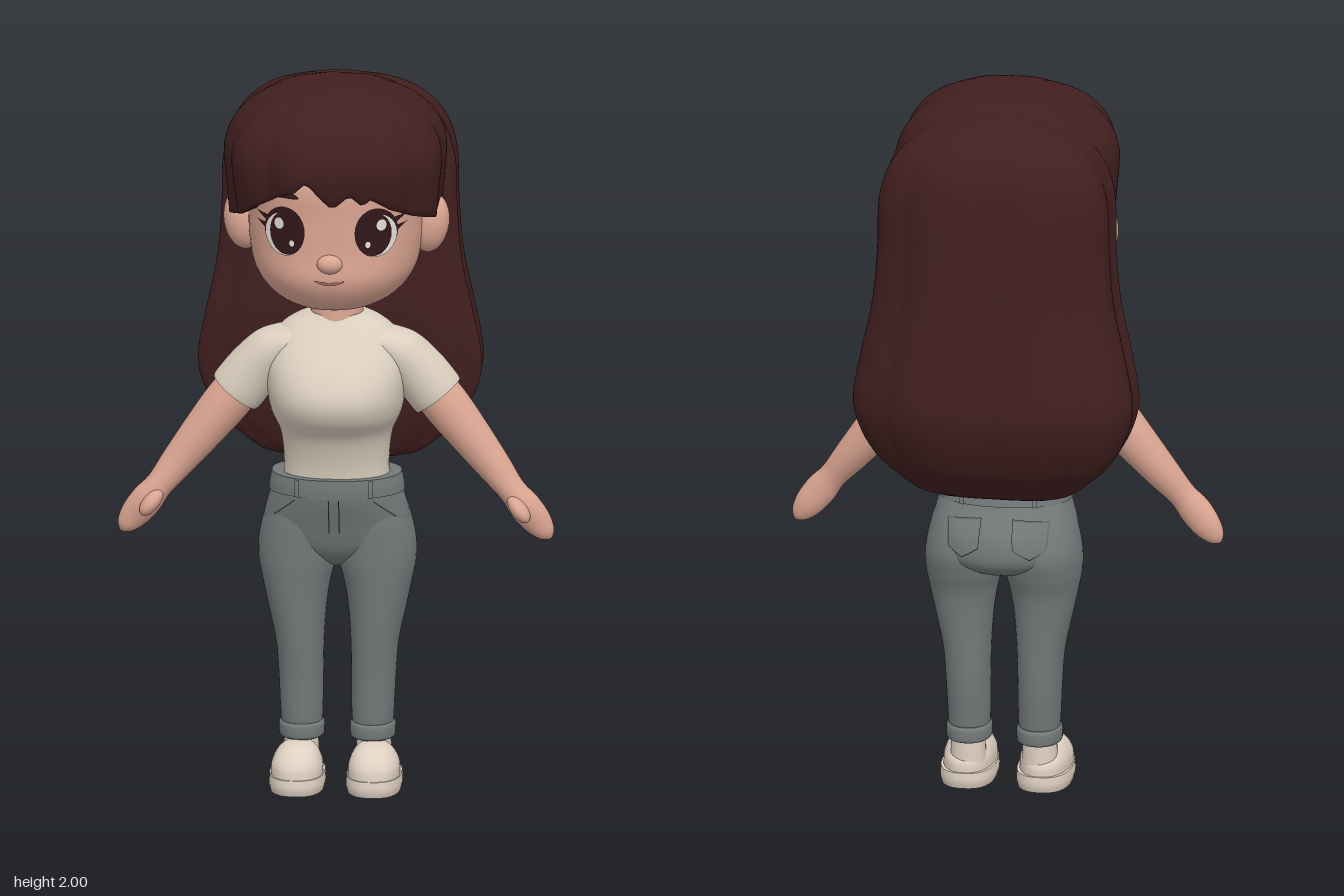
import * as THREE from 'three';

const mat = (name, color) => Object.assign(new THREE.MeshStandardMaterial({ color }), { name });
const M = {
  skin: mat('skin', 0xdca693), hair: mat('dark brown hair', 0x421f1f), shirt: mat('cream shirt', 0xdacebe),
  jeans: mat('grey denim', 0x747979), seam: mat('denim seam', 0x646969), shoe: mat('beige shoe', 0xdecfc1),
  dark: mat('eye brown', 0x32171a), white: mat('eye white', 0xe9e4de), lip: mat('lip', 0xb06e62),
};

// Skin of m + 1 rings with n points each, optional flat end caps
function skin(n, m, fn, caps) {
  const pos = [], idx = [];
  for (let j = 0; j <= m; j++) for (let i = 0; i < n; i++) pos.push(...fn(i, j / m));
  for (let j = 0; j < m; j++) for (let i = 0; i < n; i++) {
    const a = j * n + i, b = j * n + (i + 1) % n;
    idx.push(a, a + n, b, b, a + n, b + n);
  }
  if (caps) for (const [j, flip] of [[0, false], [m, true]]) {
    const start = pos.length / 3, c = [0, 0, 0];
    for (let i = 0; i < n; i++) {
      const p = pos.slice((j * n + i) * 3, (j * n + i) * 3 + 3);
      p.forEach((v, k) => { c[k] += v / n; });
      pos.push(...p);
    }
    pos.push(...c);
    for (let i = 0; i < n; i++) {
      const a = start + i, b = start + (i + 1) % n;
      idx.push(...(flip ? [a, start + n, b] : [a, b, start + n]));
    }
  }
  const g = new THREE.BufferGeometry();
  g.setAttribute('position', new THREE.Float32BufferAttribute(pos, 3));
  g.setIndex(idx);
  g.computeVertexNormals();
  return g;
}

// Smooth interpolation of section rows [x, y, z, half width, front depth, back depth]
function sample(rows, t) {
  const f = t * (rows.length - 1), i = Math.min(Math.floor(f), rows.length - 2), u = f - i;
  const r = (k) => rows[Math.max(0, Math.min(rows.length - 1, k))];
  return rows[0].map((_, c) => {
    const [a, b, d, e] = [r(i - 1)[c], r(i)[c], r(i + 1)[c], r(i + 2)[c]];
    return b + 0.5 * u * (d - a + u * (2 * a - 5 * b + 4 * d - e + u * (3 * (b - d) + e - a)));
  });
}
const pw = (v, p) => Math.sign(v) * Math.abs(v) ** (2 / p);

// Solid through horizontal superellipse sections, listed from bottom to top
function loft(rows, { n = 40, m = 32, p = 2.2, front = p, ridge = () => 1 } = {}) {
  return skin(n, m, (i, t) => {
    const a = (i / n) * Math.PI * 2, [x, y, z, rx, rf, rb] = sample(rows, t), k = ridge(a, t);
    const s = Math.sin(a), e = s > 0 ? front : p;
    return [x + k * rx * pw(Math.cos(a), e), y, z + k * (s > 0 ? rf : rb) * pw(s, e)];
  }, true);
}

// Depth of a lofted surface at x, y, on its front (1) or back (-1)
function depth(rows, x, y, face, p = 2.2) {
  let lo = 0, hi = 1;
  for (let k = 0; k < 24; k++) {
    const mid = (lo + hi) / 2;
    if (sample(rows, mid)[1] < y) lo = mid; else hi = mid;
  }
  const [cx, , z, rx, rf, rb] = sample(rows, lo);
  const q = Math.max(0, 1 - Math.abs((x - cx) / rx) ** p) ** (1 / p);
  return z + face * (face > 0 ? rf : rb) * q;
}

// Thin painted plate following a lofted surface
function patch(rows, pts, off, face = 1) {
  const o = [];
  pts.forEach((a, i) => {
    const b = pts[(i + 1) % pts.length], k = pts.length > 12 ? 1 : 6;
    for (let s = 0; s < k; s++) o.push([a[0] + (b[0] - a[0]) * s / k, a[1] + (b[1] - a[1]) * s / k]);
  });
  let area = 0, cx = 0, cy = 0;
  o.forEach((a, i) => {
    const b = o[(i + 1) % o.length];
    area += a[0] * b[1] - a[1] * b[0];
    cx += a[0] / o.length; cy += a[1] / o.length;
  });
  if (area * face > 0) o.reverse();
  return skin(o.length, 5, (i, t) => {
    const x = o[i][0] + (cx - o[i][0]) * t, y = o[i][1] + (cy - o[i][1]) * t;
    return [x, y, depth(rows, x, y, face) + face * off];
  });
}
const oval = (x, y, rx, ry, bend = 0) => Array.from({ length: 28 }, (_, i) => {
  const a = (i / 28) * Math.PI * 2, c = Math.cos(a);
  return [x + rx * c, y + ry * Math.sin(a) + bend * c * c];
});

const HEAD = [[0, 1.375, 0.07, 0.05, 0.09, 0.06], [0, 1.388, 0.065, 0.12, 0.175, 0.1], [0, 1.42, 0.06, 0.178, 0.222, 0.14],
  [0, 1.48, 0.06, 0.22, 0.253, 0.17], [0, 1.56, 0.06, 0.236, 0.25, 0.18], [0, 1.65, 0.06, 0.24, 0.25, 0.18],
  [0, 1.75, 0.06, 0.25, 0.25, 0.17], [0, 1.85, 0.06, 0.21, 0.21, 0.14], [0, 1.92, 0.06, 0.1, 0.1, 0.08]];
const HIPS = [[0, 0.615, 0.01, 0.03, 0.03, 0.03], [0, 0.64, 0.01, 0.1, 0.075, 0.11], [0, 0.68, 0.02, 0.185, 0.095, 0.16],
  [0, 0.75, 0.03, 0.2, 0.108, 0.165], [0, 0.83, 0.03, 0.182, 0.132, 0.125], [0, 0.88, 0.03, 0.17, 0.13, 0.11]];
const BAND = [[0, 0.835, 0.03, 0.186, 0.136, 0.128], [0, 0.86, 0.03, 0.183, 0.137, 0.123], [0, 0.885, 0.03, 0.177, 0.135, 0.117]];
const SHIRT = [[0, 0.85, 0.04, 0.147, 0.1, 0.09], [0, 0.92, 0.04, 0.144, 0.108, 0.09], [0, 1.0, 0.04, 0.153, 0.135, 0.09],
  [0, 1.06, 0.04, 0.178, 0.185, 0.09], [0, 1.12, 0.04, 0.189, 0.2, 0.09], [0, 1.19, 0.04, 0.192, 0.168, 0.09],
  [0, 1.26, 0.03, 0.178, 0.118, 0.08], [0, 1.295, 0.025, 0.15, 0.092, 0.075], [0, 1.318, 0.02, 0.115, 0.077, 0.07],
  [0, 1.332, 0.02, 0.08, 0.07, 0.065]];
const BACK_HAIR = [[0, 0.88, -0.14, 0.14, 0.015, 0.02], [0, 0.9, -0.13, 0.21, 0.03, 0.07], [0, 0.95, -0.12, 0.275, 0.04, 0.135],
  [0, 1.0, -0.12, 0.325, 0.055, 0.175], [0, 1.08, -0.12, 0.37, 0.07, 0.212], [0, 1.17, -0.12, 0.388, 0.085, 0.232],
  [0, 1.3, -0.12, 0.366, 0.1, 0.222], [0, 1.45, -0.12, 0.335, 0.105, 0.207], [0, 1.6, -0.12, 0.322, 0.115, 0.198],
  [0, 1.75, -0.12, 0.316, 0.13, 0.19], [0, 1.86, -0.12, 0.275, 0.13, 0.168], [0, 1.93, -0.11, 0.195, 0.1, 0.12],
  [0, 1.965, -0.09, 0.08, 0.05, 0.05]];
// Lower edge of the fringe: [degrees from the front, height]
const FRINGE = [[-180, 1.62], [-90, 1.62], [-60, 1.65], [-42, 1.69], [-24, 1.73], [-15, 1.745], [-9, 1.775], [1, 1.695],
  [9, 1.735], [16, 1.705], [20, 1.725], [33, 1.69], [52, 1.66], [90, 1.62], [180, 1.62]];

// Fringe and crown, with the lower edge folded in to the head
function crownHair() {
  const n = 144, m = 30;
  return skin(n, m, (i, t) => {
    const a = (i / n) * Math.PI * 2, s = Math.sin(a);
    const deg = Math.atan2(Math.cos(a), s) * 180 / Math.PI;
    const k = Math.max(1, FRINGE.findIndex((f) => f[0] >= deg)), [d0, y0] = FRINGE[k - 1], [d1, y1] = FRINGE[k];
    const edge = y0 + (y1 - y0) * (deg - d0) / (d1 - d0);
    const fold = t < 0.5 / m, u = Math.max(0, (t * m - 1) / (m - 1));
    const y = edge + (1.995 - edge) * Math.sin(u * Math.PI / 2) + (fold ? 0.015 : 0);
    let r = y > 1.79 ? Math.max(0, 1 - ((y - 1.79) / 0.205) ** 2.2) ** (1 / 2.2)
      : 1 - 0.3 * (1.79 - y) - (s > 0 ? 8 * s * s * (1.79 - y) ** 2 : 0);
    r *= 0.965 + 0.055 * Math.abs(Math.sin(4.5 * (a - Math.PI / 2) + 0.6)) * (1 - u ** 4);
    if (fold) r *= 0.8;
    return [0.3 * r * pw(Math.cos(a), 2.3), y, 0.08 + (s > 0 ? 0.278 : 0.33) * r * pw(s, 2.3)];
  });
}

export function createModel() {
  const root = new THREE.Group();
  root.name = 'girl';
  const add = (name, geo, m, parent = root) => {
    const mesh = new THREE.Mesh(geo, m);
    mesh.name = name;
    parent.add(mesh);
    return mesh;
  };
  const ball = (name, m, pos, scale, parent) => {
    const b = add(name, new THREE.SphereGeometry(1, 24, 16), m, parent);
    b.position.set(...pos);
    b.scale.set(...scale);
    return b;
  };

  // Head, neck and hair
  add('head', loft(HEAD, { n: 64, m: 48 }), M.skin);
  add('neck', new THREE.CylinderGeometry(0.066, 0.074, 0.16, 28), M.skin).position.set(0, 1.36, 0.025);
  ball('nose', M.skin, [0, 1.535, 0.303], [0.036, 0.028, 0.03]);
  add('mouth', patch(HEAD, oval(0, 1.48, 0.042, 0.004, 0.01), 0.004), M.lip);
  add('crownHair', crownHair(), M.hair);
  add('backHair', loft(BACK_HAIR, {
    n: 96, m: 56, p: 2.35, front: 4,
    ridge: (a, t) => 0.97 + 0.055 * Math.abs(Math.sin(4 * (a + Math.PI / 2))) * Math.min(1, (1 - t) * 5),
  }), M.hair);

  // Shirt body and the top of the jeans
  add('shirt', loft(SHIRT, { n: 56, m: 48 }), M.shirt);
  add('hips', loft(HIPS, { n: 56 }), M.jeans);
  add('waistband', loft(BAND, { n: 56, m: 8 }), M.jeans);
  for (const x of [-0.014, 0.014]) {
    add('flySeam', patch(HIPS, [[x - 0.0015, 0.73], [x + 0.0015, 0.73], [x + 0.0015, 0.83], [x - 0.0015, 0.83]], 0.004), M.seam);
  }

  for (const s of [1, -1]) {
    const side = s > 0 ? 'left' : 'right';
    const face = (name, pts, off, m) => add(side + name, patch(HEAD, pts, off), m);

    // Ear, eye and brow
    const ear = ball(side + 'Ear', M.skin, [s * 0.256, 1.59, 0.05], [0.052, 0.083, 0.052]);
    ear.rotation.z = -s * 0.15;
    face('EyeOutline', oval(s * 0.125, 1.621, 0.057, 0.069), 0.003, M.dark);
    face('EyeWhite', oval(s * 0.127, 1.613, 0.052, 0.06), 0.005, M.white);
    face('Iris', oval(s * 0.12, 1.617, 0.046, 0.061), 0.007, M.dark);
    face('EyeShine', oval(s * 0.14, 1.642, 0.013, 0.016), 0.009, M.white);
    face('EyeGlint', oval(s * 0.104, 1.59, 0.007, 0.009), 0.009, M.white);
    face('Brow', oval(s * 0.13, 1.725, 0.045, 0.01, -0.006), 0.004, M.dark);
    for (const y of [1.625, 1.65]) {
      face('Lash', [[s * 0.172, y - 0.012], [s * 0.172, y + 0.008], [s * 0.205, y + 0.012]], 0.004, M.dark);
    }

    // Arm, sleeve and hand, hanging along a slanted axis
    const arm = new THREE.Group();
    arm.name = side + 'Arm';
    arm.position.set(s * 0.17, 1.235, 0);
    arm.rotation.z = s * 0.672;
    root.add(arm);
    add('armAndHand', loft([[0, -0.668, 0.07, 0.008, 0.008, 0.008], [0, -0.65, 0.07, 0.026, 0.022, 0.022],
      [0, -0.61, 0.07, 0.04, 0.032, 0.032], [0, -0.555, 0.072, 0.044, 0.042, 0.036], [0, -0.5, 0.068, 0.038, 0.042, 0.036],
      [0, -0.42, 0.055, 0.047, 0.046, 0.046], [0, -0.3, 0.042, 0.058, 0.058, 0.058], [0, -0.2, 0.036, 0.064, 0.064, 0.064],
      [0, -0.08, 0.035, 0.06, 0.06, 0.06]], { p: 2 }), M.skin, arm);
    ball('thumb', M.skin, [-s * 0.01, -0.545, 0.107], [0.023, 0.046, 0.034], arm).rotation.x = -0.5;
    add('sleeve', loft([[0, -0.172, 0.037, 0.075, 0.074, 0.074], [0, -0.15, 0.037, 0.077, 0.076, 0.076],
      [0, -0.08, 0.035, 0.075, 0.08, 0.076], [-s * 0.008, 0, 0.033, 0.068, 0.088, 0.07], [-s * 0.03, 0.06, 0.03, 0.05, 0.084, 0.06],
      [-s * 0.05, 0.11, 0.03, 0.03, 0.05, 0.04]], { p: 2 }), M.shirt, arm);

    // Leg with rolled cuff, rounding into hip and seat
    add(side + 'Leg', loft([[s * 0.097, 0.13, 0.01, 0.052, 0.068, 0.055], [s * 0.097, 0.2, 0.015, 0.058, 0.07, 0.068],
      [s * 0.099, 0.3, 0.012, 0.061, 0.078, 0.077], [s * 0.102, 0.4, 0.01, 0.066, 0.09, 0.08],
      [s * 0.109, 0.5, 0.01, 0.08, 0.098, 0.086], [s * 0.111, 0.57, 0.01, 0.093, 0.104, 0.095],
      [s * 0.109, 0.63, 0.01, 0.106, 0.109, 0.115], [s * 0.107, 0.69, 0.01, 0.108, 0.112, 0.128],
      [s * 0.101, 0.76, 0.015, 0.1, 0.11, 0.118], [s * 0.09, 0.84, 0.02, 0.085, 0.098, 0.09]], { m: 48, p: 2.1 }), M.jeans);
    add(side + 'Cuff', loft([[s * 0.097, 0.133, 0.015, 0.056, 0.07, 0.07], [s * 0.097, 0.14, 0.015, 0.062, 0.077, 0.077],
      [s * 0.097, 0.168, 0.015, 0.062, 0.077, 0.077], [s * 0.097, 0.177, 0.015, 0.056, 0.07, 0.07]], { m: 12, p: 2.1 }), M.jeans);

    // Belt loops, back pocket and front pocket seam
    for (const end of [1, -1]) {
      add(side + 'BeltLoop', patch(BAND, [[s * 0.095, 0.836], [s * 0.107, 0.836], [s * 0.107, 0.884], [s * 0.095, 0.884]], 0.008, end), M.jeans);
    }
    const pocket = (k) => [[-0.05, 0.055], [0.05, 0.045], [0.045, -0.03], [0.002, -0.055], [-0.045, -0.025]]
      .map(([x, y]) => [s * (0.092 + x * k), 0.752 + y * k]);
    add(side + 'PocketSeam', patch(HIPS, pocket(1), 0.005, -1), M.seam);
    add(side + 'BackPocket', patch(HIPS, pocket(0.94), 0.009, -1), M.jeans);
    add(side + 'FrontPocketSeam', patch(HIPS, [[s * 0.105, 0.826], [s * 0.108, 0.826], [s * 0.168, 0.775], [s * 0.166, 0.772]], 0.006), M.seam);

    // Shoe
    add(side + 'Sole', loft([[s * 0.105, 0, 0.07, 0.073, 0.122, 0.12], [s * 0.105, 0.02, 0.07, 0.077, 0.127, 0.125],
      [s * 0.105, 0.045, 0.07, 0.075, 0.124, 0.123]], { m: 8, p: 2.5 }), M.shoe);
    add(side + 'Shoe', loft([[s * 0.105, 0.044, 0.09, 0.071, 0.1, 0.138], [s * 0.105, 0.075, 0.09, 0.069, 0.093, 0.132],
      [s * 0.104, 0.105, 0.085, 0.056, 0.072, 0.09], [s * 0.103, 0.123, 0.08, 0.036, 0.044, 0.06],
      [s * 0.102, 0.131, 0.075, 0.012, 0.015, 0.025]], { p: 2.3 }), M.shoe);
    add(side + 'Ankle', new THREE.CylinderGeometry(0.046, 0.05, 0.1, 28), M.shoe).position.set(s * 0.099, 0.095, 0.008);
  }
  return root;
}
